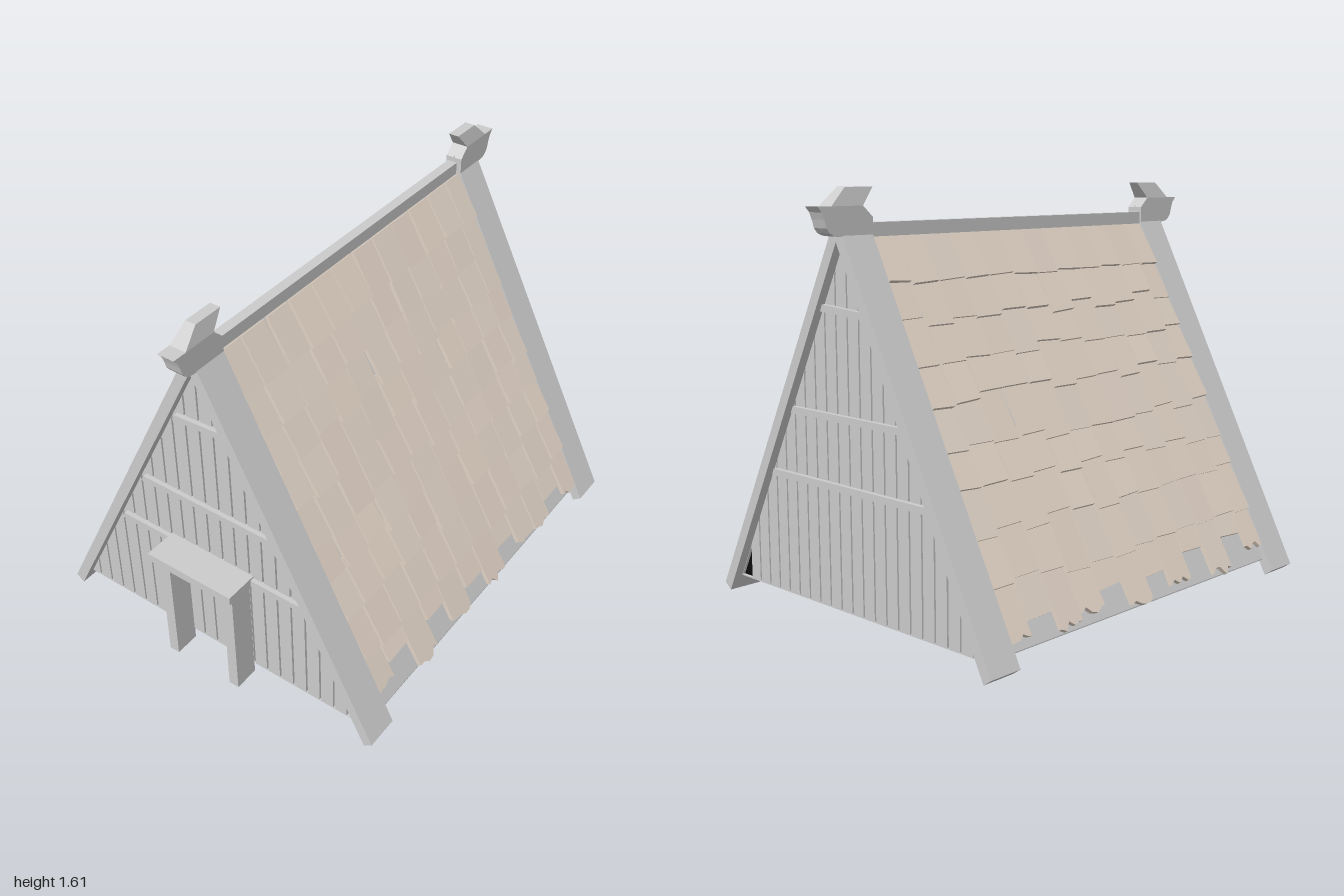
import * as THREE from 'three';

const grey = new THREE.MeshStandardMaterial({ color: 0xcccccc, flatShading: true, side: THREE.DoubleSide });
const wood = new THREE.MeshStandardMaterial({ color: 0xe0d2c5, flatShading: true });
const dark = new THREE.MeshStandardMaterial({ color: 0x0c0c0c, flatShading: true });

const SLOPE = 1.97;                       // rise per unit of z
const APEX = 1.455;                       // top of the roof deck
const PITCH = Math.atan(SLOPE);
const BASE = 0.063;                       // underside of the house
const roofY = (z, drop) => APEX - drop - SLOPE * Math.abs(z);

let seed = 7;
const rand = (a, b) => {
  seed = (seed * 16807) % 2147483647;
  return a + (b - a) * (seed / 2147483647);
};

function add(parent, name, geometry, material = grey) {
  const mesh = new THREE.Mesh(geometry, material);
  mesh.name = name;
  parent.add(mesh);
  return mesh;
}

// Box given by its limits
function block(x0, x1, y0, y1, z0, z1) {
  return new THREE.BoxGeometry(x1 - x0, y1 - y0, z1 - z0)
    .translate((x0 + x1) / 2, (y0 + y1) / 2, (z0 + z1) / 2);
}

function extrude(points, depth) {
  const shape = new THREE.Shape(points.map(([x, y]) => new THREE.Vector2(x, y)));
  return new THREE.ExtrudeGeometry(shape, { depth, bevelEnabled: false });
}

// Outline of [z, y] points extruded from x0 to x1
function extrudeX(points, x0, x1) {
  return extrude(points, x1 - x0).rotateY(-Math.PI / 2).translate(x1, 0, 0);
}

// Upside-down V from its right half: outer foot, outer peak, inner peak, inner foot
function chevron([outerFoot, outerPeak, innerPeak, innerFoot]) {
  const m = ([z, y]) => [-z, y];
  return [outerFoot, outerPeak, m(outerFoot), m(innerFoot), innerPeak, innerFoot];
}

// Piece of gable between two z values, cut to the roof line
function gableSlice(z0, z1, drop) {
  const top = (z) => Math.max(BASE + 0.005, roofY(z, drop));
  const points = [[z0, BASE], [z1, BASE], [z1, top(z1)]];
  if (z0 < 0 && z1 > 0) points.push([0, APEX - drop]);
  points.push([z0, top(z0)]);
  return points;
}

function gable(side) {
  const group = new THREE.Group();
  group.name = side > 0 ? 'leftGable' : 'rightGable';
  const span = (a, b) => (side > 0 ? [a, b] : [-b, -a]);

  // Backing behind the planks, and the dark open corner beside them
  add(group, 'gableBacking', extrudeX(gableSlice(-0.7, 0.62, 0.01), ...span(0.83, 0.85)));
  add(group, 'openCorner', extrudeX(gableSlice(0.62, 0.7, 0.01), ...span(0.83, 0.85)), dark);

  // Upright planks
  const count = 21, step = 1.325 / count;
  for (let i = 0; i < count; i++) {
    const z = -0.7 + i * step;
    add(group, 'gablePlank', extrudeX(gableSlice(z, z + step - 0.008, 0.01), ...span(0.84, 0.862)));
  }

  // Cross battens: height, half length, tilt
  for (const [y, half, tilt] of [[0.53, 0.44, 0], [0.787, 0.31, 0], [1.174, 0.12, 0.007]]) {
    add(group, 'crossBatten', extrudeX([
      [-half, y - 0.013 - tilt], [half, y - 0.013 + tilt],
      [half - 0.012, y + 0.013 + tilt], [-half + 0.012, y + 0.013 - tilt],
    ], ...span(0.855, 0.88)));
  }

  add(group, 'bargeBoards', extrudeX(chevron([
    [0.755, 0.025], [0, 1.512], [0, 1.42], [0.72, 0],
  ]), ...span(0.757, 0.897)));

  // Carved ridge end, thinner towards the crest
  const outline = [
    [0.757, 1.44], [0.91, 1.44], [0.93, 1.443], [0.95, 1.453], [0.963, 1.47], [0.972, 1.5],
    [0.982, 1.525], [1, 1.545], [0.94, 1.545], [0.87, 1.61], [0.745, 1.61], [0.8, 1.545], [0.757, 1.505],
  ];
  const finial = extrude(outline.map(([x, y]) => [x * side, y]), 0.07).translate(0, 0, -0.035);
  const p = finial.attributes.position;
  for (let i = 0; i < p.count; i++) {
    const t = Math.max(0, (p.getY(i) - 1.545) / 0.065);
    p.setZ(i, p.getZ(i) * (1 - 0.38 * t));
  }
  finial.computeVertexNormals();
  add(group, 'ridgeFinial', finial);
  return group;
}

// Heights of the course edges, and of the eaves edge of each column
const COURSES = [1.27, 1.135, 1.0, 0.865, 0.7, 0.575, 0.43, 0.265];
const EAVES = [0.135, 0.195, 0.085, 0.19, 0.1, 0.155, 0.085, 0.165, 0.115, 0.09, 0.15, 0.1];
const RAGGED = [0, 2, 4, 6, 8, 9, 11];

function shingles(side) {
  const group = new THREE.Group();
  group.name = side > 0 ? 'frontShingles' : 'backShingles';
  group.rotation.order = 'YXZ';
  group.rotation.set(PITCH - Math.PI / 2, side > 0 ? 0 : Math.PI, 0);
  group.position.y = APEX;
  // Distance down the slope to the lifted edge of a shingle
  const down = (y) => (APEX - y + 0.009) / Math.sin(PITCH);

  for (let c = 0; c < 12; c++) {
    // The end columns are narrower, to fit between the barge boards
    const end = c === 0 || c === 11;
    const columnX = (end ? Math.sign(c - 5.5) * 0.707 : (c - 5.5) * 0.13) * side;
    let top = down(1.44);
    [...COURSES, EAVES[c]].forEach((edge, row) => {
      const last = row === COURSES.length;
      const jitter = last ? 0 : row ? 0.02 : 0.006;
      const bottom = down(edge + rand(-jitter, jitter));
      const length = bottom - top + (row ? 0.04 : 0);
      const w = end ? 0.049 : 0.061 + rand(-0.004, 0.003);
      const skew = rand(-0.003, 0.003);
      const points = [[-w, 0], [-w, -length - skew]];
      if (last && RAGGED.includes(c)) {
        for (const t of [-0.6, -0.2, 0.25, 0.65]) points.push([w * t, -length + rand(-0.02, 0.02)]);
      }
      points.push([w, -length + skew], [w, 0]);
      const tile = add(group, 'shingle', extrude(points, 0.018), wood);
      tile.position.set(columnX + (end ? 0 : rand(-0.005, 0.005)), length - bottom, -0.003);
      const lift = last ? rand(0.008, 0.014) : rand(0.01, 0.022);
      tile.rotation.x = -Math.asin(lift / length);
      if (!end) tile.rotation.z = rand(-0.015, 0.015);
      top = bottom;
    });
  }
  return group;
}

export function createModel() {
  const model = new THREE.Group();
  model.name = 'house';

  // Roof deck, floor and ridge
  add(model, 'roofDeck', extrudeX(chevron([
    [0.705, 0.065], [0, APEX], [0, APEX - 0.04], [0.685, 0.065],
  ]), -0.86, 0.86));
  add(model, 'floor', block(-0.862, 0.862, BASE - 0.002, BASE + 0.002, -0.705, 0.705));
  add(model, 'ridgeBeam', block(-0.757, 0.757, 1.435, 1.485, -0.028, 0.014));

  for (const side of [1, -1]) {
    model.add(gable(side));
    model.add(shingles(side));
  }

  // Doorway on the right gable
  const door = new THREE.Group();
  door.name = 'doorway';
  add(door, 'doorLintel', block(-1, -0.85, 0.517, 0.552, -0.197, 0.197));
  for (const z of [-0.152, 0.152]) {
    add(door, 'doorPost', block(-0.963, -0.86, 0.012, 0.52, z - 0.022, z + 0.022));
  }
  model.add(door);
  return model;
}
